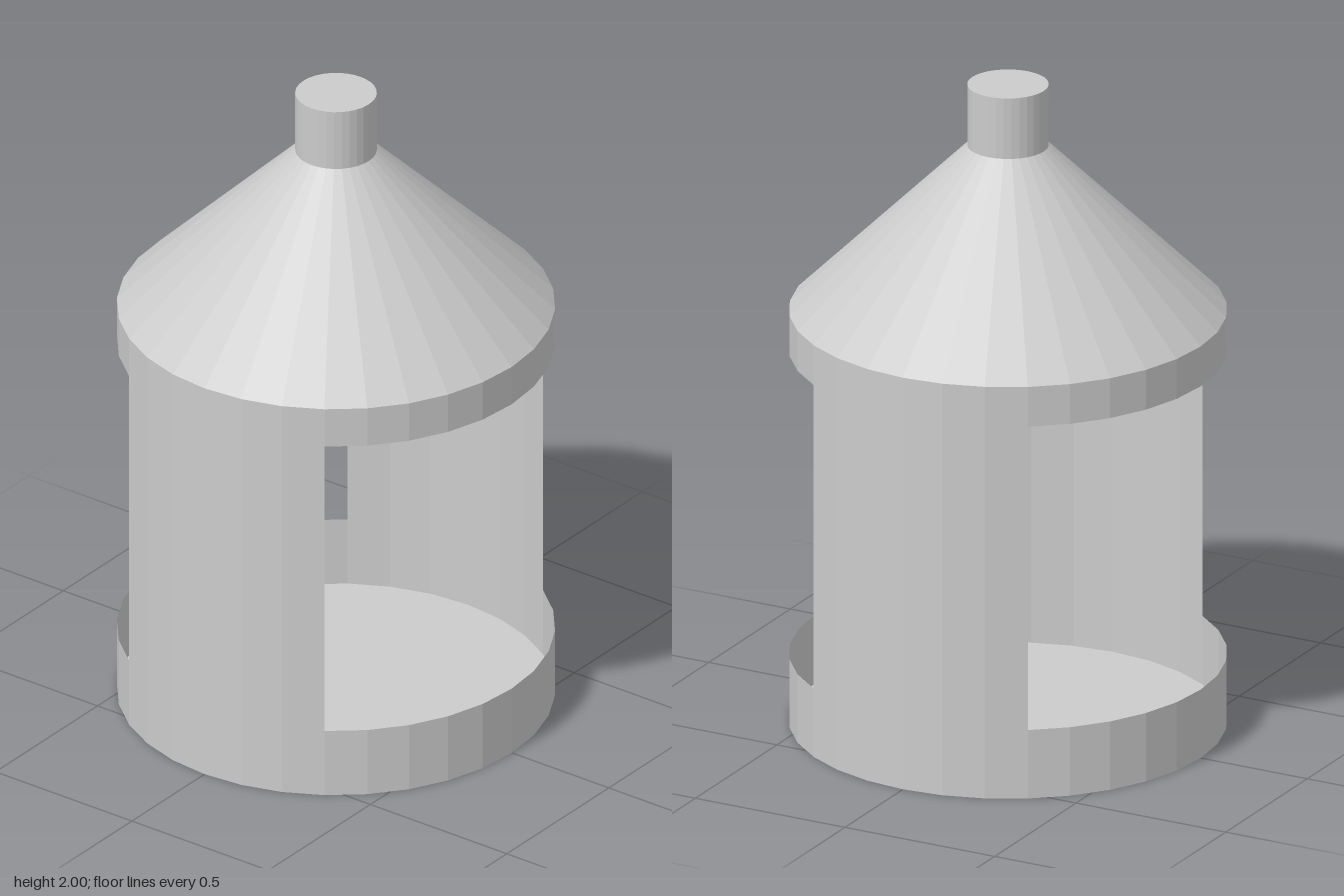
import * as THREE from 'three';

const SIDES = 32;
const STEP = (Math.PI * 2) / SIDES;
const R = 0.644;       // drum radius
const NECK_R = 0.12;   // chimney radius
// heights: sill, lintel, eaves, roof top, chimney top
const SILL = 0.215, LINTEL = 1.168, EAVES = 1.293, ROOF = 1.81, TOP = 2;

export function createModel() {
  const group = new THREE.Group();
  const material = new THREE.MeshStandardMaterial({
    color: 0xcccccc, flatShading: true, side: THREE.DoubleSide,
  });

  const add = (name, geometry, y) => {
    const mesh = new THREE.Mesh(geometry, material);
    mesh.name = name;
    mesh.position.y = y;
    group.add(mesh);
    return mesh;
  };

  // Open thin shell between two heights, covering a number of facets
  const shell = (name, rTop, rBottom, y0, y1, first = 0, count = SIDES) =>
    add(name, new THREE.CylinderGeometry(rTop, rBottom, y1 - y0, count, 1, true,
      first * STEP, count * STEP), (y0 + y1) / 2);

  // Flat disc whose corners line up with the shells
  const disc = (name, r, y, facing) => {
    const mesh = add(name, new THREE.CircleGeometry(r, SIDES), y);
    mesh.rotation.x = facing * -Math.PI / 2;
  };

  // Hollow base tray
  disc('floor', R, 0, -1);
  shell('baseRing', R, R, 0, SILL);

  // Front and back curved walls, leaving a wide opening on each side
  shell('frontWall', R, R, SILL, LINTEL, -3, 6);
  shell('backWall', R, R, SILL, LINTEL, 13, 6);

  // Lintel ring, conical roof and capped chimney
  shell('lintelRing', R, R, LINTEL, EAVES);
  shell('roof', NECK_R, R, EAVES, ROOF);
  shell('chimney', NECK_R, NECK_R, ROOF, TOP);
  disc('chimneyCap', NECK_R, TOP, 1);

  return group;
}
